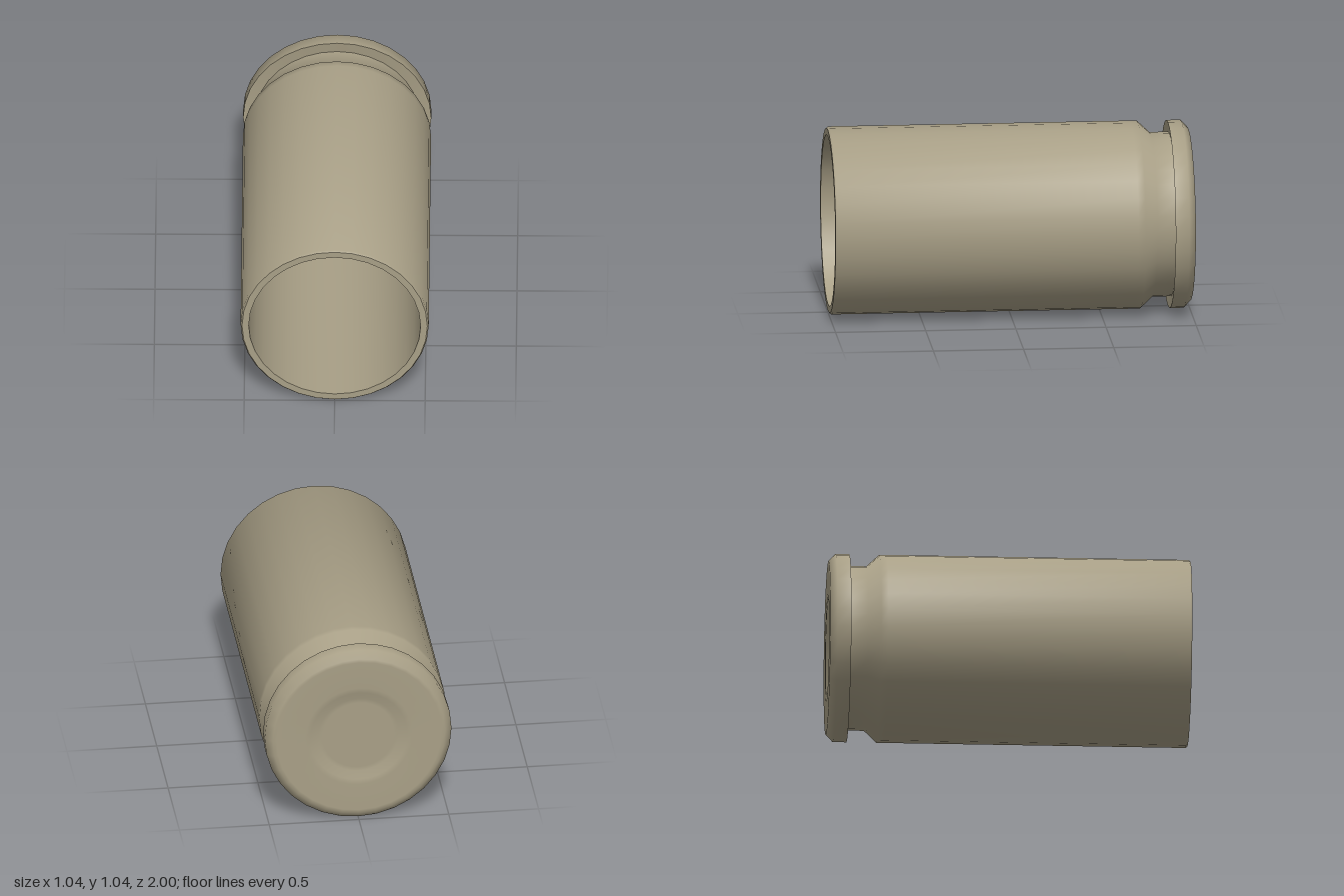
import * as THREE from 'three';
import { toCreasedNormals } from 'three/addons/utils/BufferGeometryUtils.js';

const RADIUS = 0.52;

export function createModel() {
  const model = new THREE.Group();
  model.name = 'casing';

  const metal = new THREE.MeshStandardMaterial({ color: 0xa89f86 });
  metal.name = 'dull brass';

  // Turns a profile of [radius, z] points, rear to front, about the z axis
  const turned = (name, profile) => {
    const points = profile.map(([r, z]) => new THREE.Vector2(r, z));
    const geometry = new THREE.LatheGeometry(points, 32).rotateX(Math.PI / 2);
    const mesh = new THREE.Mesh(toCreasedNormals(geometry, 0.9), metal);
    mesh.name = name;
    mesh.position.y = RADIUS;
    model.add(mesh);
  };

  // Rear flange with its shallow central dent and chamfered edge
  turned('baseFlange', [
    [0, -0.98], [0.2, -0.98], [0.225, -0.98], [0.27, -0.998], [0.3, -1],
    [0.46, -1], [0.48, -1], [RADIUS, -0.962], [RADIUS, -0.885], [0.45, -0.895],
  ]);

  // Extractor groove, sloped shoulder and long outer wall
  turned('outerWall', [
    [0.455, -0.895], [0.455, -0.79], [RADIUS, -0.72], [RADIUS, -0.68],
    [RADIUS, 0.99], [0.512, 1],
  ]);

  // Flat lip at the open mouth
  turned('mouthLip', [[0.512, 1], [0.475, 1]]);

  // Slightly tapered bore and its floor
  turned('bore', [[0.475, 1], [0.465, -0.72], [0, -0.72]]);

  return model;
}
